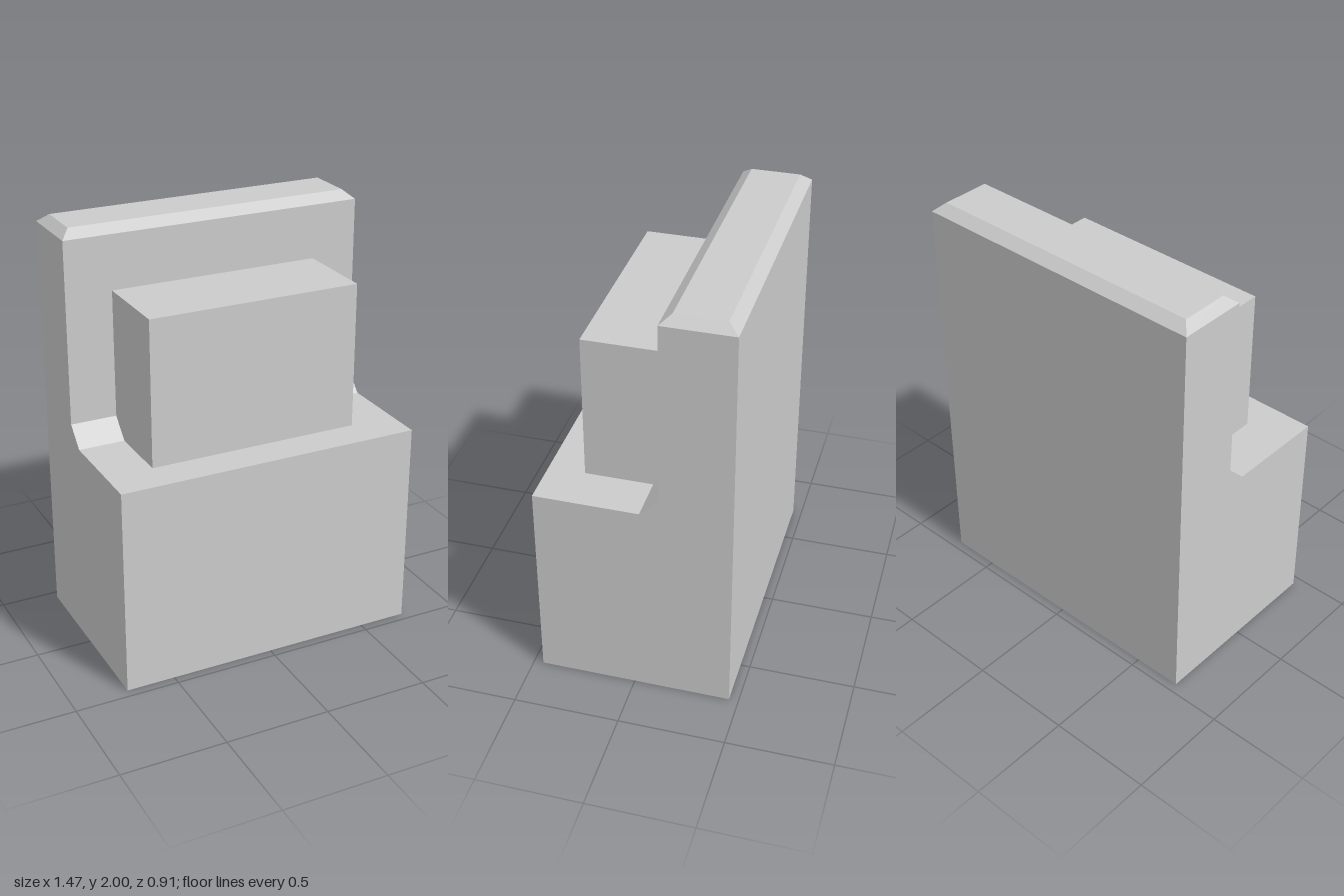
import * as THREE from 'three';

const WIDTH = 1.466;
const BACK = -0.455, FRONT = 0.455, SLAB_FRONT = -0.125;

export function createModel() {
  const group = new THREE.Group();
  const material = new THREE.MeshStandardMaterial({ color: 0xcccccc, flatShading: true });
  const add = (name, geometry) => {
    const mesh = new THREE.Mesh(geometry, material);
    mesh.name = name;
    group.add(mesh);
    return mesh;
  };

  // Base and upright slab: one side profile (z, y) with a sloped fillet, extruded across x
  const profile = new THREE.Shape([
    [BACK, 0], [FRONT, 0], [FRONT, 1], [-0.035, 1],
    [SLAB_FRONT, 1.09], [SLAB_FRONT, 1.96], [BACK, 1.96],
  ].map(([z, y]) => new THREE.Vector2(z, y)));
  const body = new THREE.ExtrudeGeometry(profile, { depth: WIDTH, bevelEnabled: false });
  body.translate(0, 0, -WIDTH / 2).rotateY(-Math.PI / 2);
  add('body', body);

  // Chamfered cap: a thin box whose top corners are drawn inwards
  const depth = SLAB_FRONT - BACK;
  const cap = new THREE.BoxGeometry(WIDTH, 0.04, depth);
  const p = cap.attributes.position;
  for (let i = 0; i < p.count; i++) {
    if (p.getY(i) < 0) continue;
    p.setX(i, p.getX(i) - Math.sign(p.getX(i)) * 0.045);
    p.setZ(i, p.getZ(i) - Math.sign(p.getZ(i)) * 0.05);
  }
  cap.computeVertexNormals();
  add('chamferedCap', cap).position.set(0, 1.98, (BACK + SLAB_FRONT) / 2);

  // Block standing on the base against the slab
  const blockFront = 0.283;
  add('frontBlock', new THREE.BoxGeometry(1.022, 0.7, blockFront - SLAB_FRONT))
    .position.set(0, 1.35, (blockFront + SLAB_FRONT) / 2);

  return group;
}
